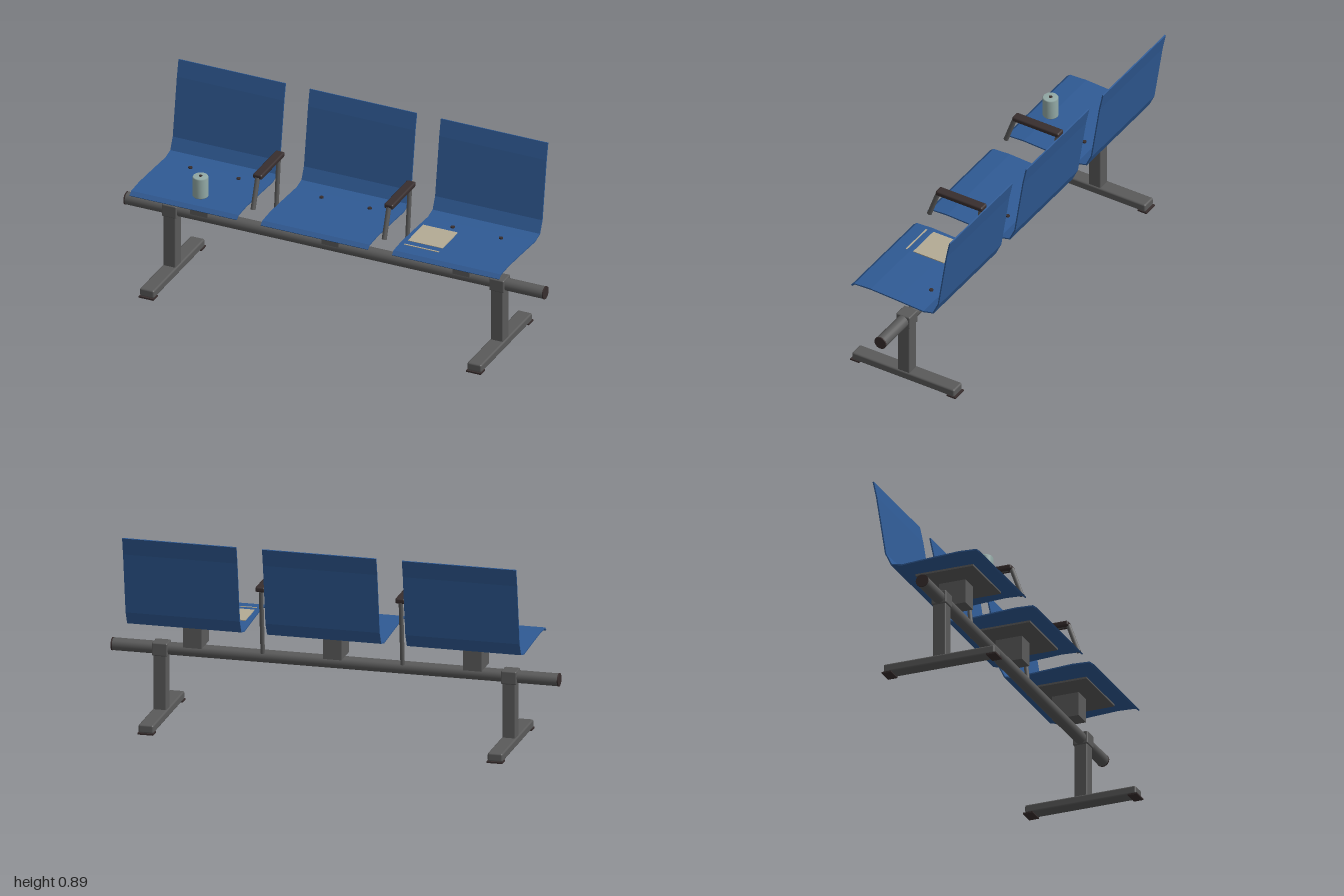
import * as THREE from 'three';
import { RoundedBoxGeometry } from 'three/addons/geometries/RoundedBoxGeometry.js';

const mat = (name, color) => Object.assign(new THREE.MeshStandardMaterial({ color }), { name });

export function createModel() {
  const blue = mat('seat blue', 0x2f5a94);
  const steel = mat('grey steel', 0x5a5a5a);
  const dark = mat('dark rubber', 0x382e2e);
  const tin = mat('pale can', 0x93aaa6);
  const paper = mat('paper', 0xb4ab94);
  const model = new THREE.Group();
  model.name = 'beamSeating';
  const AXIS_Z = 0.008;

  const add = (name, geo, material, x, y, z, parent = model) => {
    const m = new THREE.Mesh(geo, material);
    m.name = name;
    m.position.set(x, y, z);
    parent.add(m);
    return m;
  };
  const rounded = (w, h, d, r) => new RoundedBoxGeometry(w, h, d, 2, r);

  // Rod between two points given as [z, y] in the plane x
  const rod = (name, x, a, b, r, parent) => {
    const p = new THREE.Vector3(x, a[1], a[0]), q = new THREE.Vector3(x, b[1], b[0]);
    const dir = q.clone().sub(p);
    const mid = p.clone().add(q).multiplyScalar(0.5);
    const m = add(name, new THREE.CylinderGeometry(r, r, dir.length(), 12), steel, mid.x, mid.y, mid.z, parent);
    m.quaternion.setFromUnitVectors(new THREE.Vector3(0, 1, 0), dir.normalize());
  };

  // Bent sheet shell: side profile [z, y] thickened and extruded across the width
  const profile = [[0.228, 0.463], [0.212, 0.477], [0.13, 0.481], [0, 0.475], [-0.138, 0.467],
    [-0.187, 0.479], [-0.213, 0.535], [-0.255, 0.81], [-0.271, 0.887]].map(([z, y]) => new THREE.Vector2(-z, y));
  const offset = (d) => profile.map((p, i) => {
    const a = profile[Math.max(i - 1, 0)], b = profile[Math.min(i + 1, profile.length - 1)];
    const t = b.clone().sub(a).normalize();
    return new THREE.Vector2(p.x - t.y * d, p.y + t.x * d);
  });
  const seatWidth = 0.51;
  const shell = new THREE.ExtrudeGeometry(
    new THREE.Shape([...offset(-0.003), ...offset(0.003).reverse()]),
    { depth: seatWidth, bevelEnabled: false });
  shell.translate(0, 0, -seatWidth / 2).rotateY(Math.PI / 2);

  // Three seats with mounting plate, block and bolts
  for (const x of [-0.625, 0, 0.625]) {
    const seat = new THREE.Group();
    seat.name = 'seat';
    seat.position.x = x;
    model.add(seat);
    add('seatShell', shell, blue, 0, 0, 0, seat);
    add('mountingPlate', new THREE.BoxGeometry(0.31, 0.009, 0.27), steel, 0, 0.457, 0.02, seat);
    add('mountingBlock', new THREE.BoxGeometry(0.082, 0.112, 0.124), steel, 0, 0.399, AXIS_Z, seat);
    for (const s of [-1, 1])
      add('seatBolt', new THREE.CylinderGeometry(0.009, 0.009, 0.008, 12), dark, s * 0.115, 0.475, -0.09, seat);
  }

  // Round beam with end caps
  add('beam', new THREE.CylinderGeometry(0.028, 0.028, 1.988, 24).rotateZ(Math.PI / 2), steel, 0, 0.315, AXIS_Z);
  for (const s of [-1, 1])
    add('beamCap', new THREE.CylinderGeometry(0.029, 0.029, 0.006, 24).rotateZ(Math.PI / 2), dark, s * 0.997, 0.315, AXIS_Z);

  // Two legs: clamp, post, foot bar and pads
  for (const s of [-1, 1]) {
    const leg = new THREE.Group();
    leg.name = 'leg';
    leg.position.x = s * 0.78;
    model.add(leg);
    add('clamp', rounded(0.07, 0.06, 0.07, 0.006), steel, 0, 0.315, AXIS_Z, leg);
    add('post', rounded(0.058, 0.27, 0.06, 0.005), steel, 0, 0.165, AXIS_Z, leg);
    add('footBar', rounded(0.068, 0.038, 0.52, 0.008), steel, 0, 0.024, AXIS_Z, leg);
    for (const e of [-1, 1])
      add('footPad', new THREE.BoxGeometry(0.07, 0.007, 0.045), dark, 0, 0.0035, AXIS_Z + e * 0.245, leg);
  }

  // Two armrests between the seats
  for (const x of [-0.3125, 0.3125]) {
    const arm = new THREE.Group();
    arm.name = 'armrest';
    model.add(arm);
    add('armPad', rounded(0.044, 0.024, 0.238, 0.008), dark, x, 0.645, 0.024, arm);
    rod('frontStrut', x, [0.138, 0.64], [0.185, 0.506], 0.011, arm);
    rod('rearStrut', x, [-0.076, 0.632], [-0.047, 0.345], 0.01, arm);
    rod('underArmRod', x, [0.138, 0.642], [-0.076, 0.632], 0.009, arm);
  }

  // Drink can left on one seat
  const can = [[0, 0], [0.033, 0], [0.035, 0.004], [0.035, 0.092], [0.032, 0.097], [0, 0.097]]
    .map(([r, y]) => new THREE.Vector2(r, y));
  add('can', new THREE.LatheGeometry(can, 20), tin, -0.588, 0.483, 0.13);
  add('canTab', new THREE.CylinderGeometry(0.008, 0.008, 0.003, 10), dark, -0.588, 0.581, 0.13);

  // Folded paper left on another seat
  add('paperSheet', new THREE.BoxGeometry(0.165, 0.004, 0.155), paper, 0.475, 0.4835, 0.038);
  add('paperEdge', new THREE.BoxGeometry(0.165, 0.003, 0.007), paper, 0.475, 0.4835, 0.15);

  return model;
}
